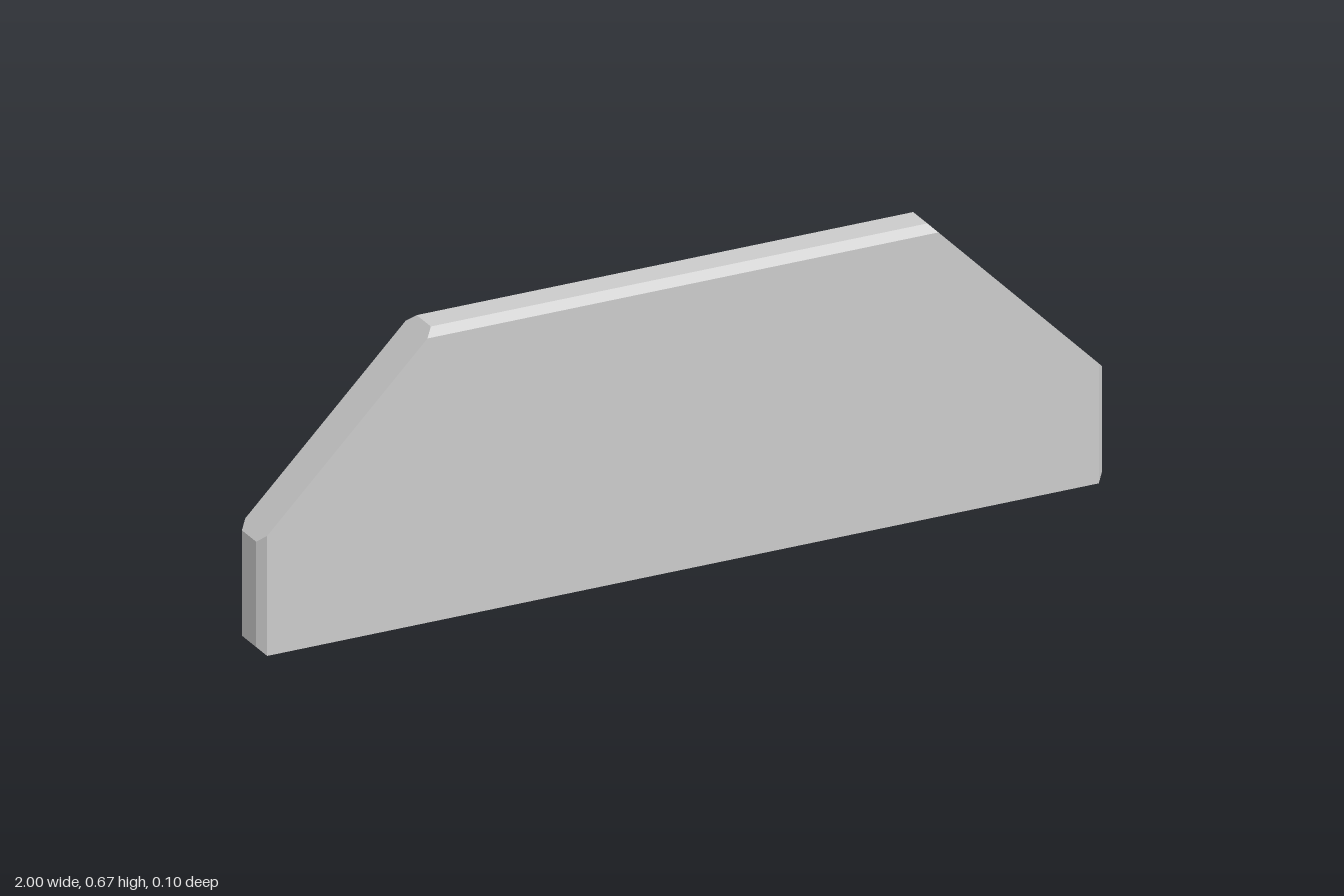
import * as THREE from 'three';
import { ConvexGeometry } from 'three/addons/geometries/ConvexGeometry.js';

export function createModel() {
  const group = new THREE.Group();
  group.name = 'chamferedPlate';

  const halfLength = 1, height = 0.673, halfDepth = 0.051;
  const bevel = 0.017;   // chamfer along the ends and the top edge
  const slope = 1.26;    // the 45 degree shoulders lie on |x| + y = slope

  // Half outlines: the broad faces, and the narrower rim between the chamfers
  const end = halfLength - bevel, shoulder = height - bevel;
  const face = [[end, 0], [end, slope - end], [slope - shoulder, shoulder]];
  const rim = [[halfLength, bevel], [halfLength, slope - halfLength], [slope - height, height]];

  // Mirror both outlines left-right and front-back, then wrap them in flat faces
  const points = [];
  for (const [outline, z] of [[face, halfDepth], [rim, halfDepth - 0.018]]) {
    for (const [x, y] of outline) {
      for (const sx of [-1, 1]) {
        for (const sz of [-1, 1]) points.push(new THREE.Vector3(sx * x, y, sz * z));
      }
    }
  }

  const plate = new THREE.Mesh(
    new ConvexGeometry(points),
    new THREE.MeshStandardMaterial({ color: 0xcccccc, flatShading: true })
  );
  plate.name = 'plate';
  group.add(plate);
  return group;
}
